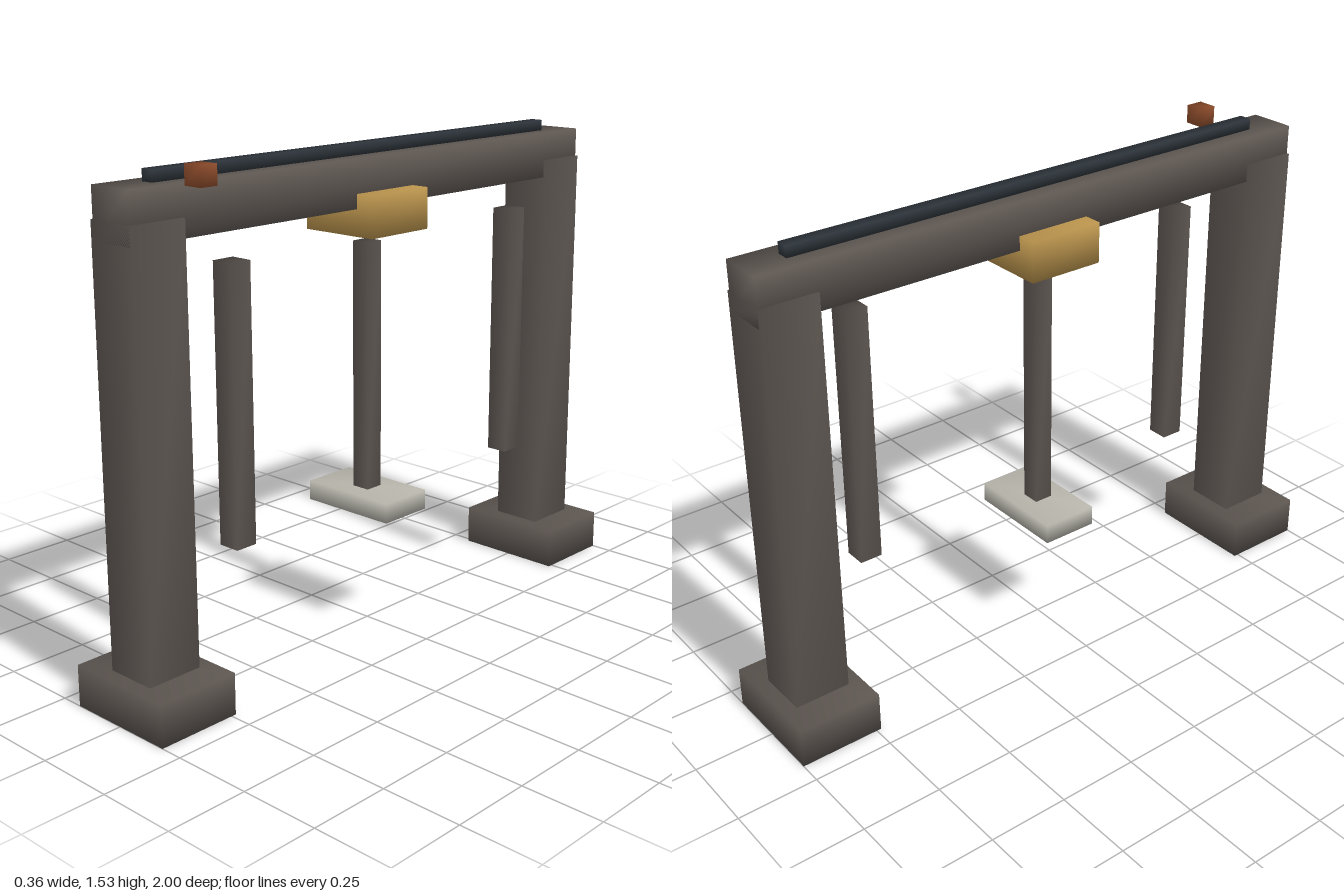
import * as THREE from 'three';
import { mergeVertices } from 'three/addons/utils/BufferGeometryUtils.js';

// Box given by [min, max] per axis, with normals shared across its corners
function softBox(name, material, [x0, x1], [y0, y1], [z0, z1]) {
  let geometry = new THREE.BoxGeometry(x1 - x0, y1 - y0, z1 - z0);
  geometry.deleteAttribute('normal');
  geometry.deleteAttribute('uv');
  geometry = mergeVertices(geometry);
  geometry.computeVertexNormals();
  const mesh = new THREE.Mesh(geometry, material);
  mesh.name = name;
  mesh.position.set((x0 + x1) / 2, (y0 + y1) / 2, (z0 + z1) / 2);
  return mesh;
}

export function createModel() {
  const model = new THREE.Group();
  model.name = 'gantry';
  const paint = (color) => new THREE.MeshStandardMaterial({ color });
  const iron = paint(0x5c5550);
  const darkSteel = paint(0x2b3238);
  const brass = paint(0xb8924c);
  const paleSteel = paint(0xb8b6ac);
  const copper = paint(0x8a4a2a);
  const add = (...args) => model.add(softBox(...args));

  // Supports at both ends, each with a foot, a column and a hanging side bar
  for (const [end, s] of [['front', 1], ['back', -1]]) {
    const span = (a, b) => (s > 0 ? [a, b] : [-b, -a]);
    add(end + 'Foot', iron, [-0.18, 0.18], [0, 0.127], span(0.735, 1));
    add(end + 'Column', iron, [-0.082, 0.082], [0.127, 1.392], span(0.778, 0.955));
    add(end + 'SideBar', iron, [0.03, 0.1], [0.44, 1.255], span(0.57, 0.642));
  }

  // Overhead beam and the rail along its top
  add('beam', iron, [-0.073, 0.073], [1.336, 1.482], [-0.955, 0.955]);
  add('rail', darkSteel, [-0.02, 0.02], [1.482, 1.516], [-0.832, 0.832]);

  // Carriage under the beam, hanging rod and press plate
  add('carriage', brass, [-0.132, 0.132], [1.255, 1.38], [-0.122, 0.122]);
  add('rod', iron, [-0.03, 0.03], [0.445, 1.22], [-0.03, 0.03]);
  add('pressPlate', paleSteel, [-0.162, 0.162], [0.383, 0.445], [-0.09, 0.09]);

  // Small block beside the rail's front end
  add('indicatorBlock', copper, [0.1, 0.162], [1.478, 1.535], [0.735, 0.792]);

  return model;
}
